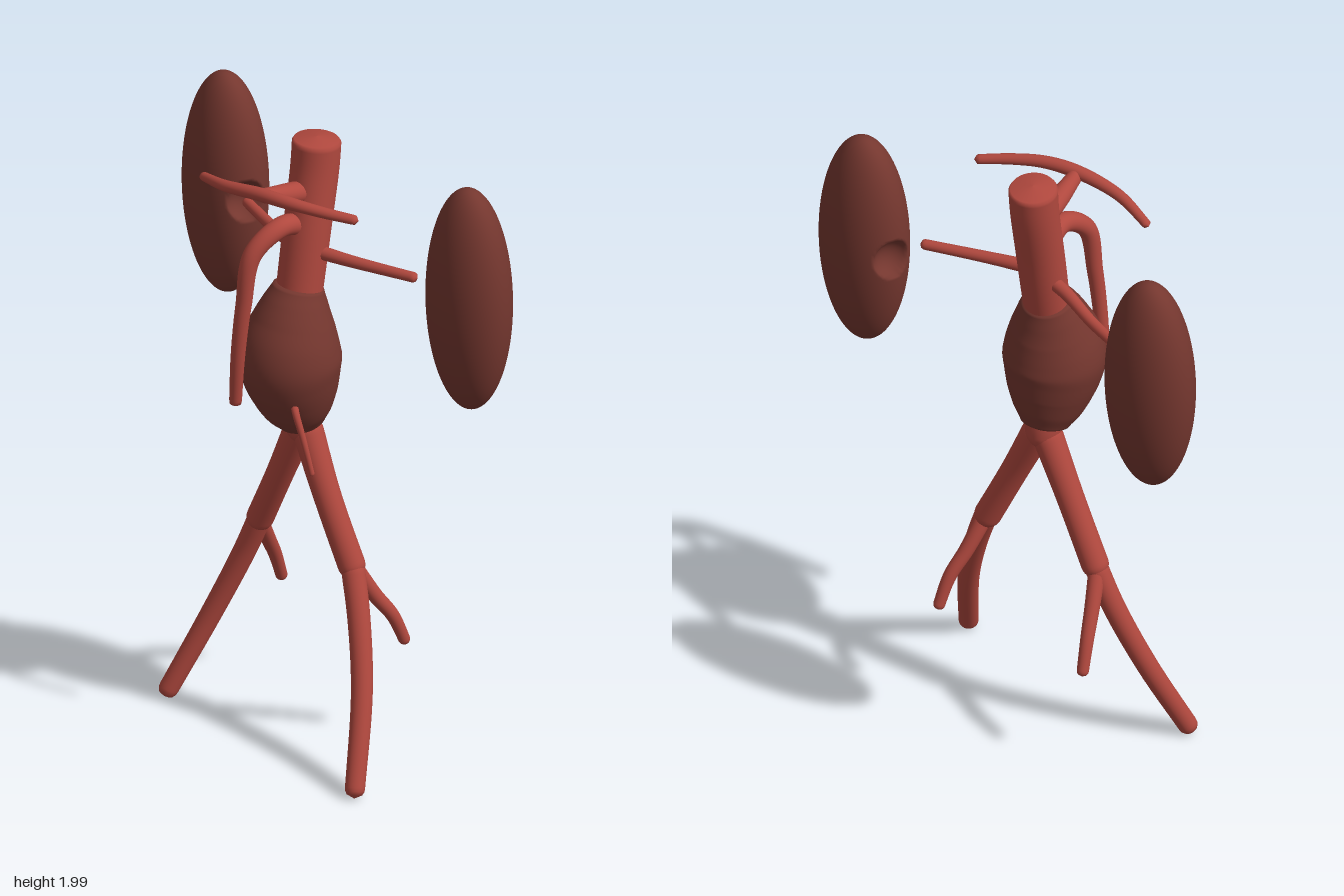
import * as THREE from 'three';
import { mergeVertices } from 'three/addons/utils/BufferGeometryUtils.js';

const vesselRed = new THREE.MeshStandardMaterial({ color: 0xb0483e });
vesselRed.name = 'vessel red';
const organBrown = new THREE.MeshStandardMaterial({ color: 0x75372f });
organBrown.name = 'organ brown';

// Smooth tube through points, with radii spread evenly along it and closed rounded ends
function vessel(name, points, radii, { material = vesselRed, cap, sides = 28, segments = 64 } = {}) {
  const path = new THREE.CatmullRomCurve3(points.map((p) => new THREE.Vector3(...p)));
  const profile = new THREE.SplineCurve(radii.map((r, i) => new THREE.Vector2(i, r)));
  const length = path.getLength();
  const geo = new THREE.TubeGeometry(path, segments, 1, sides, false);
  const pos = geo.attributes.position;
  const v = new THREE.Vector3();
  for (let i = 0; i <= segments; i++) {
    const u = i / segments;
    const centre = path.getPointAt(u);
    let r = profile.getPoint(u).y;
    const capLength = cap ?? r;
    const d = Math.min(u, 1 - u) * length;
    if (d < capLength) r *= Math.sqrt(Math.max(0, 1 - (1 - d / capLength) ** 2));
    r = Math.max(r, 0.00001);
    for (let j = 0; j <= sides; j++) {
      const k = i * (sides + 1) + j;
      v.fromBufferAttribute(pos, k).sub(centre).multiplyScalar(r).add(centre);
      pos.setXYZ(k, v.x, v.y, v.z);
    }
  }
  geo.deleteAttribute('uv');
  geo.deleteAttribute('normal');
  const smooth = mergeVertices(geo, 1e-6);
  smooth.computeVertexNormals();
  const mesh = new THREE.Mesh(smooth, material);
  mesh.name = name;
  return mesh;
}

// Ellipsoid with a round hollow scooped out where the renal artery points
function kidney(name, x, y, z, side) {
  const geo = new THREE.SphereGeometry(1, 112, 120);
  geo.scale(0.15, 0.371, 0.116);
  geo.rotateY(-0.4);
  const axis = new THREE.Vector3(side * Math.cos(0.64), 0, side * Math.sin(0.64));
  const reach = 0.168, R = 0.07;
  const pos = geo.attributes.position;
  const v = new THREE.Vector3();
  for (let i = 0; i < pos.count; i++) {
    v.fromBufferAttribute(pos, i);
    const t = v.dot(axis);
    const off2 = v.lengthSq() - t * t;
    if (t <= 0 || off2 >= R * R) continue;
    const floor = reach - Math.sqrt(R * R - off2);
    if (floor < t) {
      v.addScaledVector(axis, floor - t);
      pos.setXYZ(i, v.x, v.y, v.z);
    }
  }
  geo.deleteAttribute('uv');
  geo.deleteAttribute('normal');
  const smooth = mergeVertices(geo, 1e-6);
  smooth.computeVertexNormals();
  const mesh = new THREE.Mesh(smooth, organBrown);
  mesh.name = name;
  mesh.position.set(x, y, z);
  return mesh;
}

export function createModel() {
  const model = new THREE.Group();
  model.name = 'abdominalArteries';

  // Main trunk, bulging sac and the neck below it
  model.add(
    vessel('aorta', [[-0.045, 2, 0.012], [-0.047, 1.9, 0.022], [-0.054, 1.7, 0.06], [-0.064, 1.46, 0.1]],
      [0.074, 0.073, 0.072, 0.07], { cap: 0.014, sides: 40 }),
    vessel('aneurysmSac', [[-0.063, 1.535, 0.09], [-0.07, 1.42, 0.115], [-0.075, 1.3, 0.128], [-0.068, 1.18, 0.11], [-0.06, 1.06, 0.077]],
      [0.074, 0.1, 0.126, 0.147, 0.156, 0.147, 0.13, 0.105, 0.07],
      { material: organBrown, cap: 0.012, sides: 56, segments: 80 }),
    vessel('aorticNeck', [[-0.06, 1.15, 0.09], [-0.058, 1.06, 0.076], [-0.056, 0.985, 0.07]], [0.058, 0.058, 0.05])
  );

  // Leg arteries: common, outer and inner branch on each side
  model.add(
    vessel('leftCommonIliac', [[-0.055, 1.07, 0.075], [0.04, 0.85, 0.11], [0.15, 0.605, 0.132]], [0.048, 0.042, 0.042]),
    vessel('leftExternalIliac', [[0.132, 0.66, 0.125], [0.185, 0.5, 0.18], [0.235, 0.3, 0.255], [0.278, 0.008, 0.385]], [0.036, 0.034, 0.032, 0.03]),
    vessel('leftInternalIliac', [[0.14, 0.64, 0.13], [0.185, 0.53, 0.08], [0.225, 0.45, 0.04], [0.252, 0.345, 0.005]], [0.026, 0.022, 0.018]),
    vessel('rightCommonIliac', [[-0.055, 1.07, 0.075], [-0.155, 0.84, 0.035], [-0.262, 0.605, -0.014]], [0.048, 0.042, 0.042]),
    vessel('rightExternalIliac', [[-0.24, 0.66, -0.01], [-0.305, 0.5, -0.01], [-0.4, 0.28, 0.02], [-0.517, 0.008, 0.093]], [0.036, 0.034, 0.032, 0.03]),
    vessel('rightInternalIliac', [[-0.255, 0.64, -0.01], [-0.26, 0.54, -0.075], [-0.261, 0.45, -0.13], [-0.26, 0.345, -0.175]], [0.026, 0.022, 0.018])
  );

  // Kidneys and the arteries reaching for them
  model.add(
    kidney('leftKidney', 0.507, 1.626, 0.085, -1),
    kidney('rightKidney', -0.508, 1.584, -0.28, 1),
    vessel('leftRenalArtery', [[-0.055, 1.645, 0.07], [0.1, 1.644, 0.078], [0.33, 1.645, 0.08]], [0.022, 0.018, 0.016]),
    vessel('rightRenalArtery', [[-0.058, 1.63, 0.07], [-0.15, 1.622, 0.01], [-0.26, 1.605, -0.08], [-0.385, 1.6, -0.175]], [0.022, 0.018, 0.016])
  );

  // Front branches
  model.add(
    vessel('celiacTrunk', [[-0.05, 1.83, 0.04], [-0.08, 1.86, 0.15], [-0.11, 1.895, 0.25]], [0.034, 0.032, 0.022]),
    vessel('celiacBranches', [[-0.37, 1.838, 0.13], [-0.25, 1.872, 0.207], [-0.11, 1.897, 0.245], [0, 1.9, 0.258], [0.1, 1.893, 0.25], [0.21, 1.882, 0.228]],
      [0.014, 0.018, 0.021, 0.018, 0.015]),
    vessel('superiorMesenteric', [[-0.06, 1.72, 0.06], [-0.085, 1.755, 0.17], [-0.135, 1.69, 0.25], [-0.155, 1.52, 0.272], [-0.172, 1.35, 0.275], [-0.188, 1.165, 0.262]],
      [0.034, 0.03, 0.025, 0.022, 0.019]),
    vessel('inferiorMesenteric', [[-0.025, 1.21, 0.19], [0, 1.19, 0.237], [0.035, 1.1, 0.25], [0.066, 0.985, 0.25]], [0.012, 0.01, 0.008], { sides: 16 })
  );
  return model;
}
